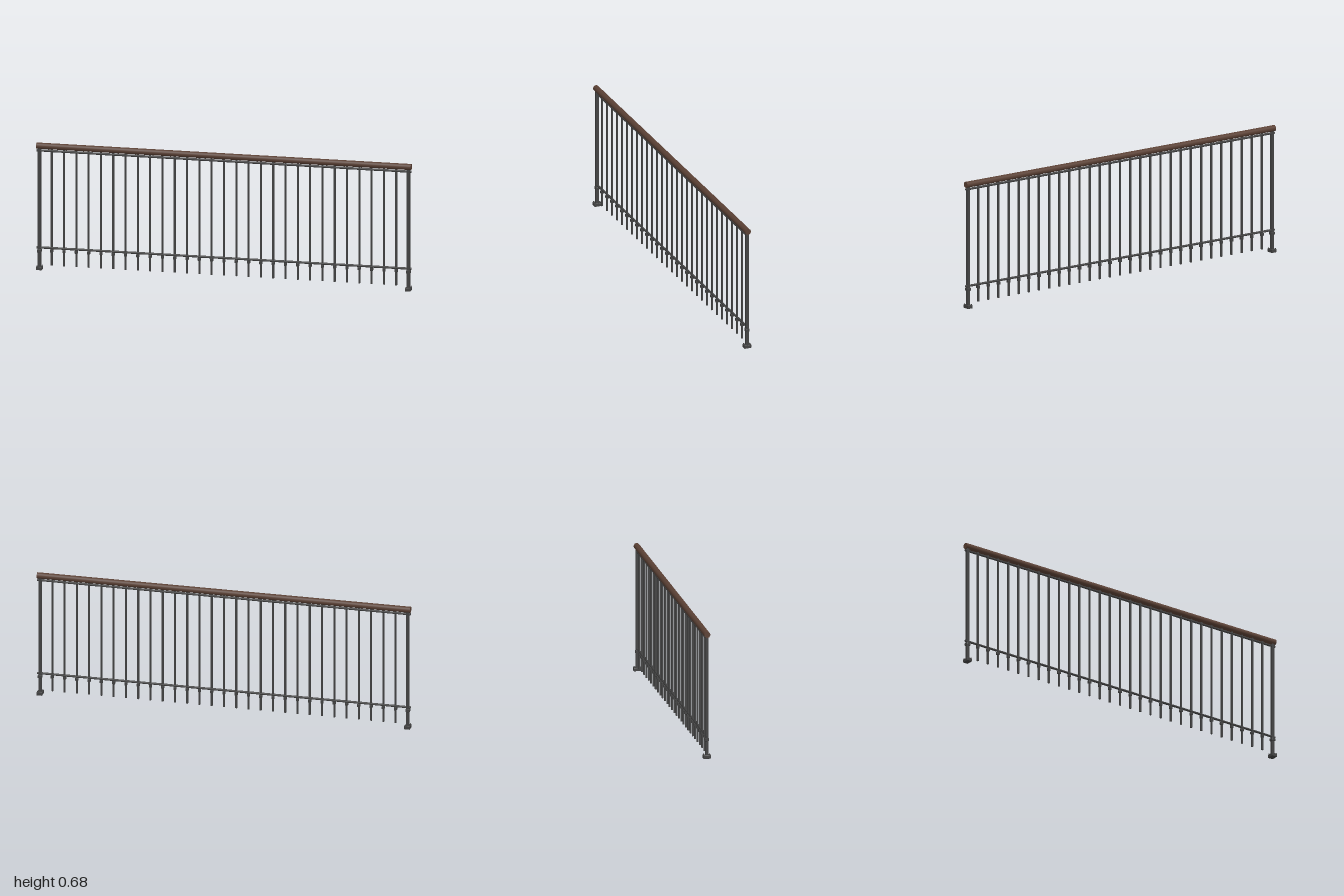
import * as THREE from 'three';
import { RoundedBoxGeometry } from 'three/addons/geometries/RoundedBoxGeometry.js';

export function createModel() {
  const model = new THREE.Group();
  model.name = 'railing';

  const metal = new THREE.MeshStandardMaterial({ color: 0x424242 });
  metal.name = 'dark metal';
  const wood = new THREE.MeshStandardMaterial({ color: 0x5a4034 });
  wood.name = 'brown wood';

  const add = (parent, name, geometry, material, x, y, z = 0) => {
    const mesh = new THREE.Mesh(geometry, material);
    mesh.name = name;
    mesh.position.set(x, y, z);
    parent.add(mesh);
    return mesh;
  };
  // vertical square bar between two heights
  const bar = (width, bottom, top) =>
    new THREE.BoxGeometry(width, top - bottom, width).translate(0, (bottom + top) / 2, 0);
  // round rod lying along x
  const rod = (radius, sides) =>
    new THREE.CylinderGeometry(radius, radius, 2, sides).rotateZ(Math.PI / 2);

  // long horizontal parts
  add(model, 'handrail', rod(0.016, 28), wood, 0, 0.662);
  add(model, 'upperRail', rod(0.006, 14), metal, 0, 0.637);
  add(model, 'lowerRail', rod(0.006, 14), metal, 0, 0.118);

  // end posts on bolted feet
  const postX = 0.985;
  const postGeo = bar(0.016, 0.015, 0.655);
  const postCollarGeo = new RoundedBoxGeometry(0.022, 0.016, 0.022, 2, 0.002);
  const footGeo = new RoundedBoxGeometry(0.03, 0.018, 0.04, 2, 0.002);
  const boltGeo = new THREE.CylinderGeometry(0.0022, 0.0022, 0.008, 8);
  for (const side of [-1, 1]) {
    const post = new THREE.Group();
    post.name = side > 0 ? 'leftPost' : 'rightPost';
    post.position.x = side * postX;
    add(post, 'postShaft', postGeo, metal, 0, 0);
    add(post, 'postCollar', postCollarGeo, metal, 0, 0.101);
    add(post, 'postFoot', footGeo, metal, 0, 0.009);
    for (const x of [-0.011, 0.011])
      for (const z of [-0.015, 0.015]) add(post, 'footBolt', boltGeo, metal, x, 0.019, z);
    model.add(post);
  }

  // evenly spaced balusters hanging below the lower rail
  const gaps = 30;
  const balusterGeo = bar(0.009, 0.025, 0.655);
  const collarGeo = new RoundedBoxGeometry(0.015, 0.016, 0.015, 1, 0.0015);
  for (let i = 1; i < gaps; i++) {
    const baluster = new THREE.Group();
    baluster.name = 'baluster';
    baluster.position.x = -postX + (2 * postX * i) / gaps;
    add(baluster, 'balusterBar', balusterGeo, metal, 0, 0);
    add(baluster, 'balusterCollar', collarGeo, metal, 0, 0.104);
    model.add(baluster);
  }
  return model;
}
